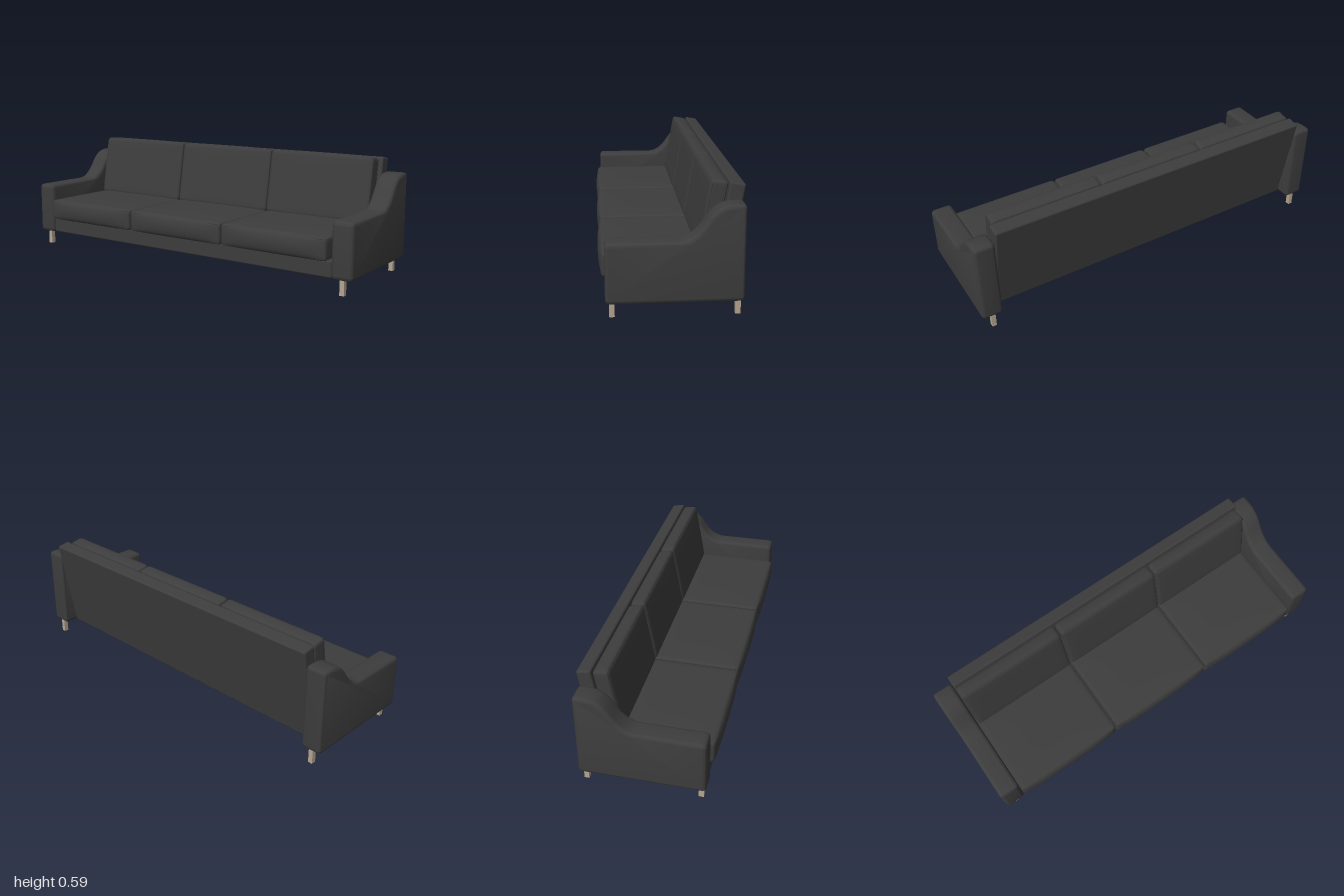
import * as THREE from 'three';
import { mergeVertices, toCreasedNormals } from 'three/addons/utils/BufferGeometryUtils.js';
import { RoundedBoxGeometry } from 'three/addons/geometries/RoundedBoxGeometry.js';

const LEAN = -0.17; // backward tilt of the backrest

export function createModel() {
  const fabric = new THREE.MeshStandardMaterial({ color: 0x3d3d3d });
  fabric.name = 'charcoal fabric';
  const wood = new THREE.MeshStandardMaterial({ color: 0xb5a590 });
  wood.name = 'pale wood';

  const sofa = new THREE.Group();
  sofa.name = 'sofa';

  function add(parent, name, geometry, material, x = 0, y = 0, z = 0) {
    const mesh = new THREE.Mesh(geometry, material);
    mesh.name = name;
    mesh.position.set(x, y, z);
    parent.add(mesh);
    return mesh;
  }

  // Arms: sweeping side profile (z, y) with rounded edges
  function armGeometry() {
    const s = new THREE.Shape();
    s.moveTo(0.275, 0.073);
    s.quadraticCurveTo(0.297, 0.073, 0.297, 0.095);
    s.lineTo(0.297, 0.324);
    s.quadraticCurveTo(0.297, 0.348, 0.273, 0.348);
    s.lineTo(-0.02, 0.348);
    s.bezierCurveTo(-0.075, 0.348, -0.11, 0.388, -0.138, 0.43);
    s.bezierCurveTo(-0.17, 0.478, -0.2, 0.508, -0.265, 0.508);
    s.lineTo(-0.291, 0.508);
    s.quadraticCurveTo(-0.311, 0.508, -0.311, 0.488);
    s.lineTo(-0.311, 0.095);
    s.quadraticCurveTo(-0.311, 0.073, -0.289, 0.073);
    s.closePath();
    const bevel = 0.018, width = 0.108;
    const g = new THREE.ExtrudeGeometry(s, {
      depth: width - 2 * bevel, bevelEnabled: true, bevelSize: bevel,
      bevelThickness: bevel, bevelOffset: -bevel, bevelSegments: 5, curveSegments: 12,
    });
    g.translate(0, 0, bevel - width / 2);
    g.rotateY(-Math.PI / 2);
    return toCreasedNormals(g, 0.7);
  }

  // Soft block: rounded edges, slightly domed faces
  function cushionGeometry(w, h, d, r, dome, puff) {
    const g = new THREE.BoxGeometry(2, 2, 2, 24, 14, 24);
    g.deleteAttribute('uv');
    g.deleteAttribute('normal');
    const half = new THREE.Vector3(w / 2, h / 2, d / 2);
    const core = half.clone().subScalar(r);
    const p = g.attributes.position;
    const v = new THREE.Vector3(), c = new THREE.Vector3(), low = core.clone().negate();
    for (let i = 0; i < p.count; i++) {
      v.fromBufferAttribute(p, i);
      const a = v.clone();
      // rows crowd toward the edges so the rounding stays smooth
      v.set(Math.sin(a.x * Math.PI / 2), Math.sin(a.y * Math.PI / 2), Math.sin(a.z * Math.PI / 2)).multiply(half);
      c.copy(v).clamp(low, core);
      v.sub(c);
      if (v.lengthSq() > 0) v.setLength(r);
      v.add(c);
      const fx = 1 - (v.x / half.x) ** 4, fy = 1 - (v.y / half.y) ** 2, fz = 1 - (v.z / half.z) ** 4;
      v.y += Math.sign(v.y) * dome * fx * fz * (Math.abs(v.y) / half.y);
      v.z += Math.sign(v.z) * puff * fy * fx * (Math.abs(v.z) / half.z);
      p.setXYZ(i, v.x, v.y, v.z);
    }
    const merged = mergeVertices(g, 1e-5);
    merged.computeVertexNormals();
    return merged;
  }

  // Welt cord around a cushion panel
  function pipingGeometry(w, d, r) {
    const path = new THREE.CurvePath();
    const x = w / 2, z = d / 2;
    const pt = (px, pz) => new THREE.Vector3(px, 0, pz);
    const corners = [[1, 1], [-1, 1], [-1, -1], [1, -1]];
    corners.forEach(([sx, sz], i) => {
      const along = i % 2 === 0;
      const onZ = pt(sx * x, sz * (z - r)), onX = pt(sx * (x - r), sz * z);
      const [start, end] = along ? [onZ, onX] : [onX, onZ];
      path.add(new THREE.QuadraticBezierCurve3(start, pt(sx * x, sz * z), end));
      const [nx, nz] = corners[(i + 1) % 4];
      const next = along ? pt(nx * (x - r), nz * z) : pt(nx * x, nz * (z - r));
      path.add(new THREE.LineCurve3(end, next));
    });
    return new THREE.TubeGeometry(path, 120, 0.004, 6, true);
  }

  function cushion(name, w, h, d, dome, puff) {
    const group = new THREE.Group();
    group.name = name;
    add(group, name + 'Body', cushionGeometry(w, h, d, 0.016, dome, puff), fabric);
    const cord = pipingGeometry(w - 0.007, d - 0.007, 0.016);
    for (const side of [-1, 1]) add(group, name + 'Piping', cord, fabric, 0, side * (h / 2 - 0.008), 0);
    sofa.add(group);
    return group;
  }

  // Arms and legs, mirrored
  const arm = armGeometry();
  const leg = new THREE.BoxGeometry(0.023, 0.08, 0.024);
  for (const side of [-1, 1]) {
    add(sofa, side > 0 ? 'leftArm' : 'rightArm', arm, fabric, side * 0.946, 0, 0);
    for (const z of [0.267, -0.288]) add(sofa, 'leg', leg, wood, side * 0.943, 0.04, z);
  }

  // Seat base and leaning back panel
  add(sofa, 'seatBase', new RoundedBoxGeometry(1.786, 0.085, 0.505, 3, 0.01), fabric, 0, 0.117, 0.036);
  const back = add(sofa, 'backPanel', new RoundedBoxGeometry(1.782, 0.505, 0.07, 3, 0.01), fabric, 0, 0.329, -0.246);
  back.rotation.x = LEAN;

  // Three seat cushions and three back cushions
  for (const x of [-0.595, -0.005, 0.583]) {
    cushion('seatCushion', 0.582, 0.111, 0.48, 0.005, 0.013).position.set(x, 0.21, 0.071);
    const b = cushion('backCushion', 0.582, 0.078, 0.334, 0.003, 0.006);
    b.rotation.x = Math.PI / 2 + LEAN;
    b.position.set(x, 0.419, -0.182);
  }
  return sofa;
}
